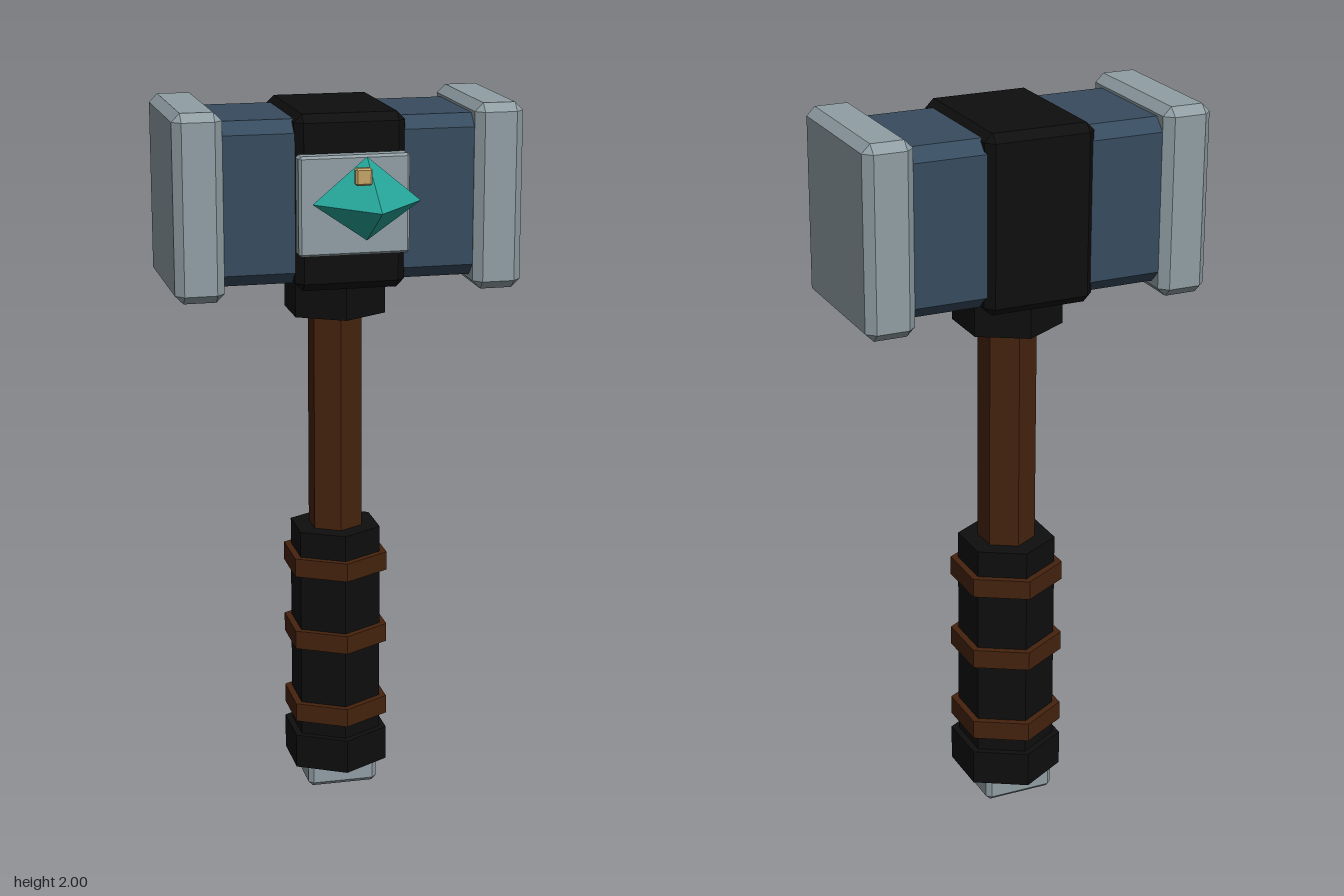
import * as THREE from 'three';
import { ConvexGeometry } from 'three/addons/geometries/ConvexGeometry.js';

const mat = (name, color) => {
  const m = new THREE.MeshStandardMaterial({ color });
  m.name = name;
  return m;
};

// Box between two corners with every edge chamfered by c
function chamferBox([x0, y0, z0], [x1, y1, z1], c) {
  const half = [(x1 - x0) / 2, (y1 - y0) / 2, (z1 - z0) / 2];
  const points = [];
  for (const sx of [-1, 1]) for (const sy of [-1, 1]) for (const sz of [-1, 1])
    for (let face = 0; face < 3; face++) {
      const [x, y, z] = half.map((h, i) => (i === face ? h : h - c));
      points.push(new THREE.Vector3(sx * x, sy * y, sz * z));
    }
  return new ConvexGeometry(points).translate((x0 + x1) / 2, (y0 + y1) / 2, (z0 + z1) / 2);
}

// Six-sided prism on the handle axis, corners towards front and back
const AXIS_Z = -0.164;
function hexPrism(radius, y0, y1) {
  return new THREE.CylinderGeometry(radius, radius, y1 - y0, 6)
    .toNonIndexed().translate(0, (y0 + y1) / 2, AXIS_Z);
}

export function createModel() {
  const model = new THREE.Group();
  model.name = 'warHammer';

  const steel = mat('steel', 0x909ea4);
  const blue = mat('blueSteel', 0x374b5e);
  const black = mat('blackLeather', 0x0e0e0e);
  const wood = mat('brownWood', 0x45230e);
  const teal = mat('tealGem', 0x26a69a);
  const gold = mat('paleGold', 0xc4a468);

  const add = (name, geometry, material) => {
    geometry.computeVertexNormals();
    const mesh = new THREE.Mesh(geometry, material);
    mesh.name = name;
    model.add(mesh);
  };

  // Head: core, two striking ends, centre band and front plate
  add('headCore', chamferBox([-0.4, 1.525, -0.358], [0.4, 1.97, 0.02], 0.034), blue);
  add('leftStrikingEnd', chamferBox([0.345, 1.49, -0.381], [0.48, 2, 0.045], 0.023), steel);
  add('rightStrikingEnd', chamferBox([-0.48, 1.49, -0.381], [-0.345, 2, 0.045], 0.023), steel);
  add('centreBand', chamferBox([-0.152, 1.508, -0.374], [0.152, 1.986, 0.04], 0.022), black);
  add('frontPlate', chamferBox([-0.152, 1.612, 0.03], [0.152, 1.882, 0.078], 0.007), steel);

  // Floating gem: a stretched octahedron
  const gem = [
    [0.145, 1.78, 0.212], [-0.145, 1.78, 0.212], [0, 1.9, 0.212],
    [0, 1.68, 0.212], [0, 1.78, 0.378], [0, 1.78, 0.132],
  ].map((p) => new THREE.Vector3(...p));
  add('gem', new ConvexGeometry(gem), teal);
  add('gemStud', chamferBox([-0.058, 1.845, 0.306], [-0.013, 1.89, 0.329], 0.005), gold);

  // Handle
  add('collar', hexPrism(0.147, 1.41, 1.53), black);
  add('shaft', hexPrism(0.079, 0.75, 1.42), wood);
  add('grip', hexPrism(0.134, 0.1, 0.78), black);
  [0.232, 0.458, 0.678].forEach((y, i) =>
    add(`gripRing${i + 1}`, hexPrism(0.155, y - 0.027, y + 0.027), wood));
  add('gripEnd', hexPrism(0.155, 0.06, 0.16), black);
  add('pommel', chamferBox([-0.101, 0, AXIS_Z - 0.101], [0.101, 0.1, AXIS_Z + 0.101], 0.013), steel);

  return model;
}
